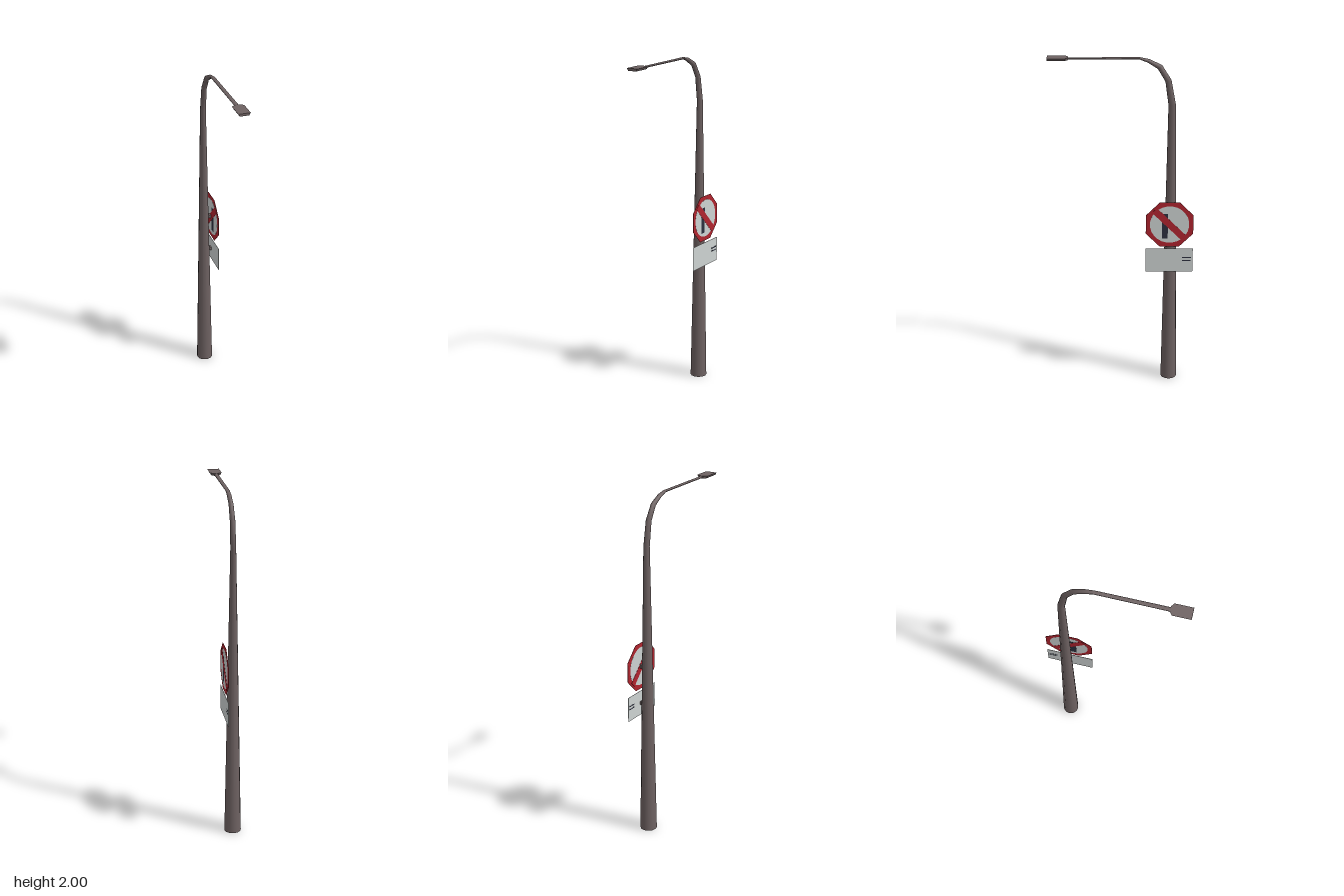
import * as THREE from 'three';

const paint = (name, color) => {
  const m = new THREE.MeshStandardMaterial({ color });
  m.name = name;
  return m;
};

const POLE_Z = -0.284, SIGN_X = 0.0465, SIGN_Z = -0.275, SIDES = 12;

// Ring stations along the pole and arm: y, z, half width across, half thickness in the bend plane
const STATIONS = [
  [0, POLE_Z, 0.049, 0.048],
  [1.724, -0.281, 0.016, 0.021],
  [1.865, -0.258, 0.015, 0.0175],
  [1.944, -0.21, 0.0135, 0.016],
  [1.979, -0.146, 0.0125, 0.011],
  [1.993, -0.098, 0.0115, 0.006],
  [1.993, 0.31, 0.0125, 0.005],
];

function poleGeometry() {
  const pos = [], index = [];
  STATIONS.forEach(([y, z, rx, rt], i) => {
    const a = STATIONS[Math.max(i - 1, 0)], b = STATIONS[Math.min(i + 1, STATIONS.length - 1)];
    // rings tilt with the path, the lowest part stays upright
    const angle = i < 2 ? 0 : Math.atan2(b[1] - a[1], b[0] - a[0]);
    for (let j = 0; j < SIDES; j++) {
      const t = (j / SIDES) * Math.PI * 2, n = Math.sin(t) * rt;
      pos.push(Math.cos(t) * rx, y - n * Math.sin(angle), z + n * Math.cos(angle));
      if (i < STATIONS.length - 1) {
        const p = i * SIDES + j, q = i * SIDES + ((j + 1) % SIDES);
        index.push(p, p + SIDES, q, q, p + SIDES, q + SIDES);
      }
    }
  });
  const g = new THREE.BufferGeometry();
  g.setAttribute('position', new THREE.Float32BufferAttribute(pos, 3));
  g.setIndex(index);
  g.computeVertexNormals();
  return g;
}

// Lamp head: plan outline with a tapered neck, narrower underneath
function lampGeometry() {
  const s = new THREE.Shape([
    [-0.034, 0.414], [0.034, 0.414], [0.034, 0.312], [0.014, 0.297], [-0.014, 0.297], [-0.034, 0.312],
  ].map(([x, z]) => new THREE.Vector2(x, z)));
  let g = new THREE.ExtrudeGeometry(s, { depth: 0.014, bevelEnabled: false });
  g.rotateX(Math.PI / 2); // plan y becomes z, depth runs downward
  g.translate(0, 2, 0);
  const p = g.attributes.position;
  for (let i = 0; i < p.count; i++) if (p.getY(i) < 1.99) p.setX(i, p.getX(i) * 0.75);
  g.computeVertexNormals();
  return g;
}

export function createModel() {
  const model = new THREE.Group();
  const steel = paint('brown grey steel', 0x6e6262);
  const red = paint('sign red', 0xb0242e);
  const white = paint('sign white', 0xcdd2d1);
  const dark = paint('dark navy', 0x2b2f3d);

  const add = (name, geometry, material, parent = model) => {
    const mesh = new THREE.Mesh(geometry, material);
    mesh.name = name;
    parent.add(mesh);
    return mesh;
  };

  // Pole, curved arm and lamp
  add('poleAndArm', poleGeometry(), steel);
  const base = add('poleBase', new THREE.CircleGeometry(0.049, SIDES), steel);
  base.rotation.x = Math.PI / 2;
  base.position.z = POLE_Z;
  add('lampHead', lampGeometry(), steel);

  // Thin plates facing sideways; thicker layers show on both faces
  const disc = (name, radius, sides, thick, material, parent) => {
    const g = new THREE.CylinderGeometry(radius, radius, thick, sides);
    g.rotateY(Math.PI / sides).rotateZ(Math.PI / 2);
    return add(name, g, material, parent);
  };
  const plate = (name, thick, h, w, y, z, material, parent) => {
    const m = add(name, new THREE.BoxGeometry(thick, h, w), material, parent);
    m.position.set(0, y, z);
    return m;
  };

  // Octagonal prohibition sign
  const round = new THREE.Group();
  round.name = 'octagonSign';
  round.position.set(SIGN_X, 1.019, SIGN_Z);
  model.add(round);
  disc('redBorder', 0.1375 / Math.cos(Math.PI / 8), 8, 0.002, red, round);
  disc('whiteField', 0.114, 24, 0.003, white, round);
  plate('darkBar', 0.004, 0.155, 0.034, -0.01, 0.027, dark, round);
  plate('redSlash', 0.005, 0.04, 0.25, 0, 0, red, round).rotation.x = -Math.PI / 4;

  // Rectangular sign below it
  const panel = new THREE.Group();
  panel.name = 'lowerSign';
  panel.position.set(SIGN_X, 0.794, SIGN_Z);
  model.add(panel);
  plate('whitePanel', 0.002, 0.146, 0.275, 0, 0, white, panel);
  for (const y of [0.016, -0.002]) plate('darkStripe', 0.003, 0.007, 0.05, y, -0.102, dark, panel);

  // Small brackets holding the signs to the pole
  for (const y of [0.794, 1.019]) {
    const b = add('signBracket', new THREE.BoxGeometry(0.03, 0.02, 0.02), steel);
    b.position.set(SIGN_X - 0.016, y, POLE_Z);
  }
  return model;
}
